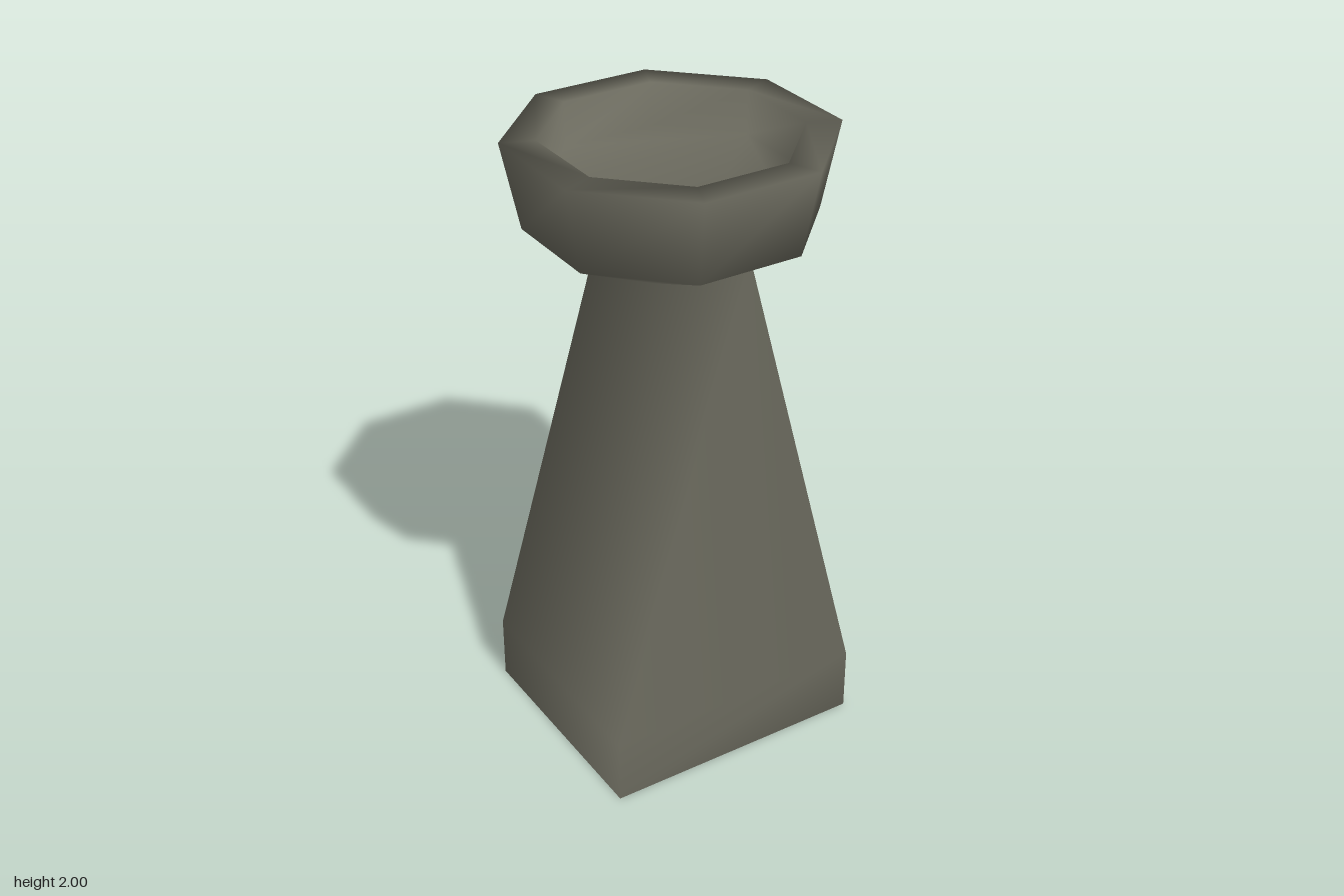
import * as THREE from 'three';

export function createModel() {
  const group = new THREE.Group();
  // Double-sided because the foot is open and the hollow inside shows
  const stone = new THREE.MeshStandardMaterial({ color: 0x6b6a5e, side: THREE.DoubleSide });
  stone.name = 'dark stone';

  const points = [];
  // Rings run anticlockwise seen from above; each returns its point indices.
  const addRing = (list) => list.map((p) => points.push(...p) / 3 - 1);
  const rectangle = (x, z, y) => addRing([[x, y, -z], [-x, y, -z], [-x, y, z], [x, y, z]]);
  const octagon = (apothem, y) => {
    const r = apothem / Math.cos(Math.PI / 8);
    return addRing(Array.from({ length: 8 }, (_, i) => {
      const a = (i + 0.5) * Math.PI / 4;
      return [r * Math.cos(a), y, -r * Math.sin(a)];
    }));
  };
  const quad = (a, b, c, d) => [a, b, c, a, c, d];
  const band = (lo, hi) => lo.flatMap((a, i) => {
    const j = (i + 1) % lo.length;
    return quad(a, lo[j], hi[j], hi[i]);
  });

  // Cross-sections from the open foot up, over the rim and down into the bowl
  const foot = rectangle(0.433, 0.378, 0);
  const shoulder = rectangle(0.433, 0.378, 0.21);
  const neck = rectangle(0.163, 0.163, 1.633);
  const bowlLow = octagon(0.406, 1.732);
  const rimOuter = octagon(0.457, 2);
  const rimInner = octagon(0.359, 2);
  const floor = octagon(0.358, 1.86);

  // Underside of the bowl: each neck corner fans out to two octagon corners
  const underside = neck.flatMap((c, k) => [
    c, bowlLow[2 * k + 1], bowlLow[2 * k],
    ...quad(c, neck[(k + 1) % 4], bowlLow[(2 * k + 2) % 8], bowlLow[2 * k + 1]),
  ]);
  const floorFan = [];
  for (let i = 1; i < 7; i++) floorFan.push(floor[0], floor[i], floor[i + 1]);

  const parts = {
    base: band(foot, shoulder),
    column: band(shoulder, neck),
    bowl: [...underside, ...band(bowlLow, rimOuter)],
    rim: band(rimOuter, rimInner),
    bowlInside: [...band(rimInner, floor), ...floorFan],
  };

  // Smooth normals shared across all parts
  const whole = new THREE.BufferGeometry();
  whole.setAttribute('position', new THREE.Float32BufferAttribute(points, 3));
  whole.setIndex(Object.values(parts).flat());
  whole.computeVertexNormals();

  for (const [name, index] of Object.entries(parts)) {
    const geometry = new THREE.BufferGeometry();
    geometry.setAttribute('position', whole.getAttribute('position'));
    geometry.setAttribute('normal', whole.getAttribute('normal'));
    geometry.setIndex(index);
    const mesh = new THREE.Mesh(geometry, stone);
    mesh.name = name;
    group.add(mesh);
  }
  return group;
}
